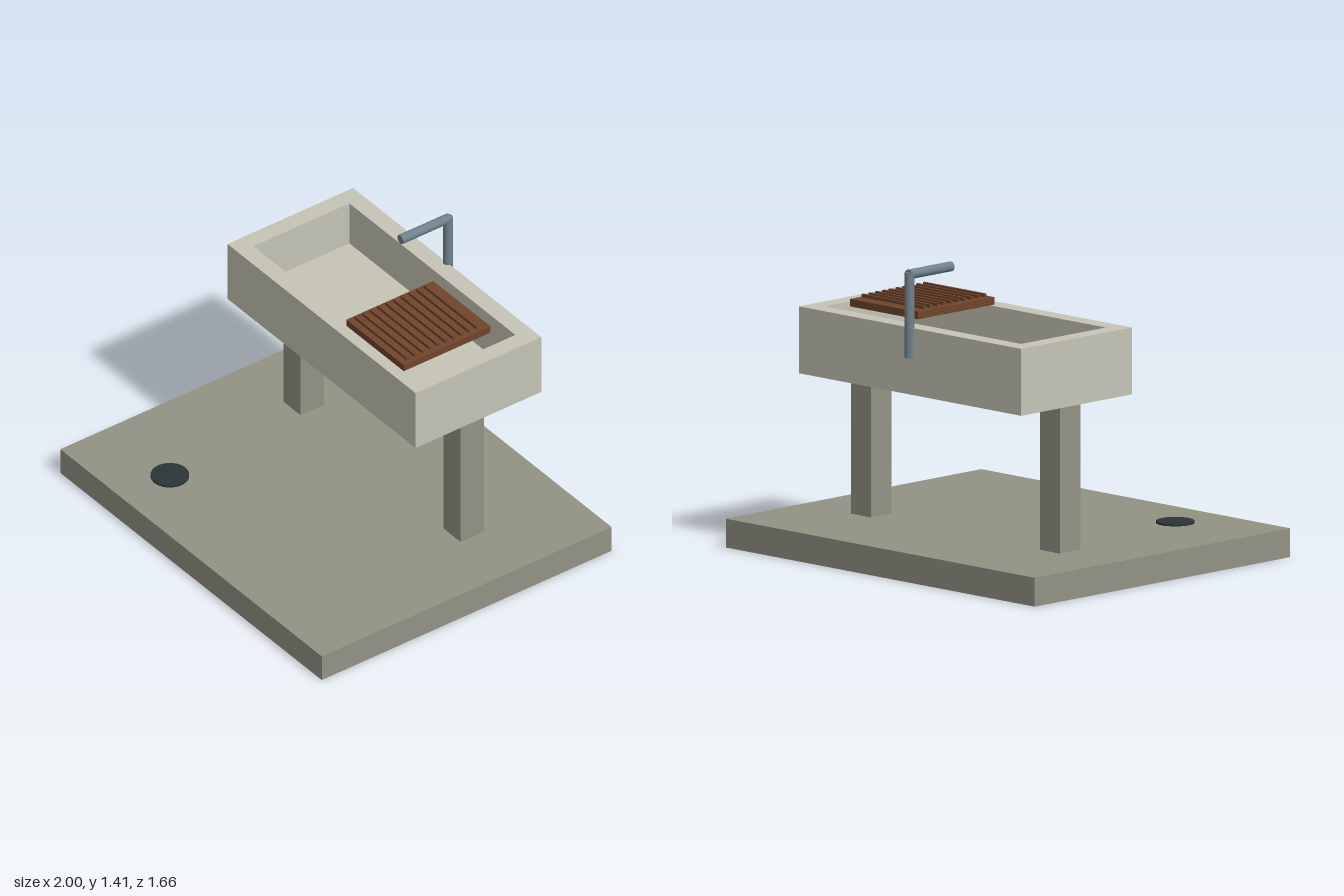
import * as THREE from 'three';

const paint = (name, color) => {
  const m = new THREE.MeshStandardMaterial({ color });
  m.name = name;
  return m;
};

export function createModel() {
  const model = new THREE.Group();
  model.name = 'outdoorSink';

  const concrete = paint('concrete', 0x929284);
  const stone = paint('paleStone', 0xc5c4b6);
  const wood = paint('wood', 0x70442b);
  const steel = paint('steel', 0x70828a);
  const iron = paint('darkIron', 0x2b3536);

  const add = (parent, name, geometry, material) => {
    const mesh = new THREE.Mesh(geometry, material);
    mesh.name = name;
    parent.add(mesh);
    return mesh;
  };
  // Box given by its min and max on each axis
  const box = (parent, name, material, [x0, x1], [y0, y1], [z0, z1]) =>
    add(parent, name, new THREE.BoxGeometry(x1 - x0, y1 - y0, z1 - z0), material)
      .position.set((x0 + x1) / 2, (y0 + y1) / 2, (z0 + z1) / 2);
  const group = (name) => {
    const g = new THREE.Group();
    g.name = name;
    model.add(g);
    return g;
  };

  // Ground slab and the two posts
  box(model, 'groundSlab', concrete, [-1, 1], [0, 0.135], [-0.832, 0.832]);
  box(model, 'leftPost', concrete, [0.547, 0.677], [0.135, 0.827], [-0.342, -0.208]);
  box(model, 'rightPost', concrete, [-0.677, -0.547], [0.135, 0.827], [-0.342, -0.208]);

  // Basin: floor plus four walls
  const basin = group('basin');
  const wallY = [0.912, 1.14], depth = [-0.638, 0.083];
  box(basin, 'basinFloor', stone, [-0.72, 0.72], [0.827, 0.912], depth);
  box(basin, 'leftWall', stone, [0.635, 0.72], wallY, depth);
  box(basin, 'rightWall', stone, [-0.72, -0.635], wallY, depth);
  box(basin, 'frontWall', stone, [-0.635, 0.635], wallY, [-0.002, 0.083]);
  box(basin, 'backWall', stone, [-0.635, 0.635], wallY, [-0.638, -0.553]);

  // Ribbed draining board resting across the basin
  const board = group('drainingBoard');
  box(board, 'boardPanel', wood, [0.113, 0.552], [1.14, 1.175], [-0.473, 0.025]);
  for (let i = 0; i < 10; i++) {
    const z = -0.012 - i * 0.0443;
    box(board, 'boardRib', wood, [0.133, 0.533], [1.178, 1.193], [z - 0.007, z + 0.007]);
  }

  // Faucet: upright pipe and spout
  const tap = group('faucet');
  add(tap, 'riser', new THREE.CylinderGeometry(0.023, 0.023, 0.4, 16), steel)
    .position.set(0, 1.2, -0.642);
  const spout = add(tap, 'spout', new THREE.CylinderGeometry(0.023, 0.023, 0.278, 16), steel);
  spout.rotation.x = Math.PI / 2;
  spout.position.set(0, 1.39, -0.509);

  // Round drain cover set on the slab
  add(model, 'drainCover', new THREE.CylinderGeometry(0.089, 0.089, 0.012, 24), iron)
    .position.set(-0.532, 0.139, 0.554);

  return model;
}
